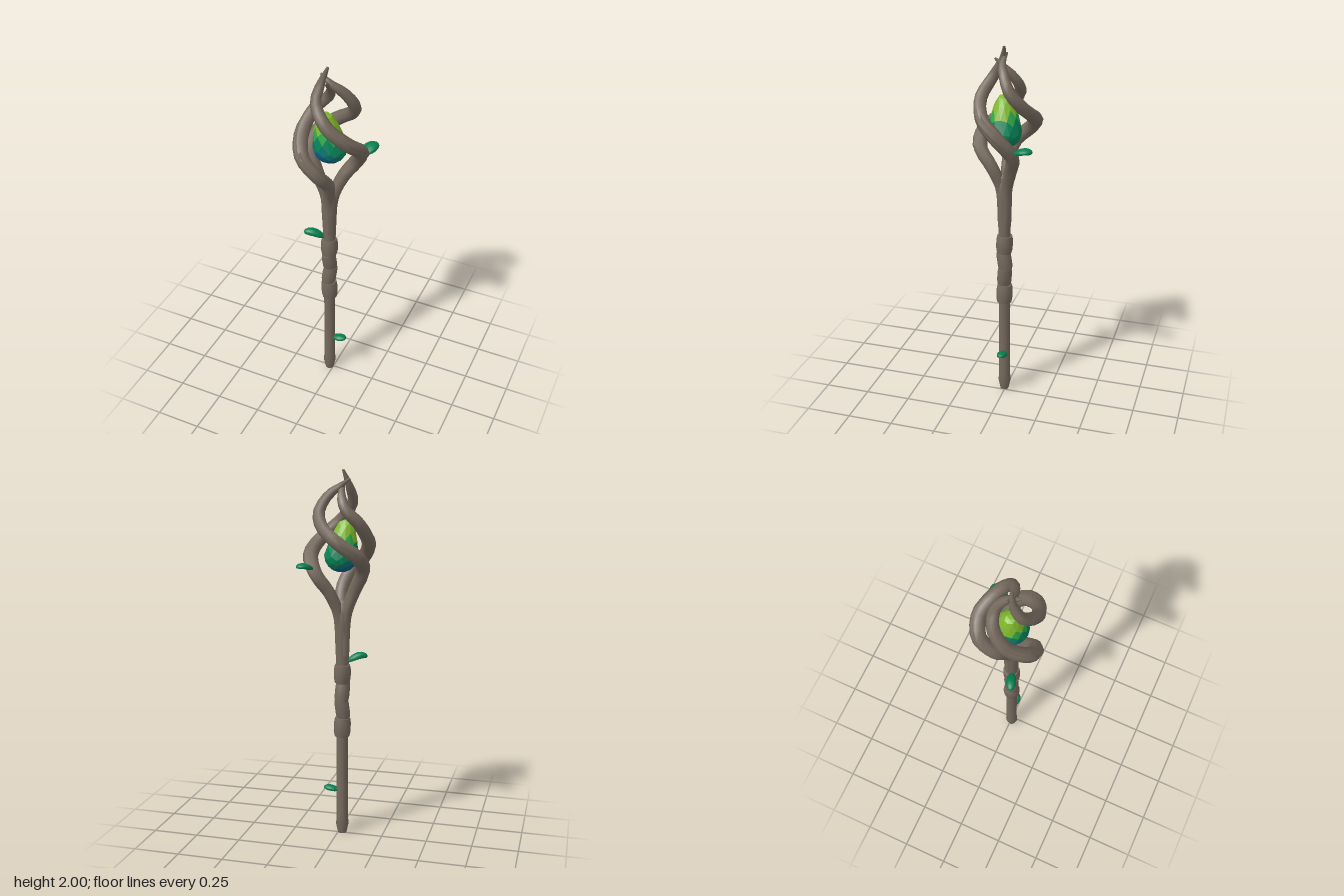
import * as THREE from 'three';
import { toCreasedNormals } from 'three/addons/utils/BufferGeometryUtils.js';

const AXIS_X = -0.022, AXIS_Z = 0.006;
const mat = (name, color) => {
  const m = new THREE.MeshStandardMaterial({ color });
  m.name = name;
  return m;
};
const V = (x, y, z) => new THREE.Vector3(x, y, z);

// Linear interpolation through an evenly spaced list of values
function sample(list, t) {
  const f = t * (list.length - 1), i = Math.min(Math.floor(f), list.length - 2);
  return THREE.MathUtils.lerp(list[i], list[i + 1], f - i);
}

// Tube along points whose thickness follows a list of radii
function taperedTube(points, radii, segments, sides) {
  const curve = new THREE.CatmullRomCurve3(points);
  const geo = new THREE.TubeGeometry(curve, segments, 1, sides);
  const pos = geo.attributes.position, v = new THREE.Vector3();
  for (let i = 0; i < pos.count; i++) {
    const t = Math.floor(i / (sides + 1)) / segments;
    const c = curve.getPointAt(t);
    v.fromBufferAttribute(pos, i).sub(c).multiplyScalar(sample(radii, t)).add(c);
    pos.setXYZ(i, v.x, v.y, v.z);
  }
  return geo;
}

// Turned part from [radius, height] pairs
function turned(profile, sides) {
  const geo = new THREE.LatheGeometry(profile.map(([r, y]) => new THREE.Vector2(r, y)), sides);
  return toCreasedNormals(geo, 0.9);
}

// Blunt egg-shaped faceted crystal: lime top, emerald body, blue low on the front right
function crystalGeometry() {
  const geo = new THREE.IcosahedronGeometry(1, 2);
  const pos = geo.attributes.position;
  for (let i = 0; i < pos.count; i++) {
    const x = pos.getX(i), y = pos.getY(i), z = pos.getZ(i);
    const up = Math.max(y, 0), w = 0.09 * (1 - 0.3 * up);
    const h = y > 0 ? Math.min(y / 0.9, 1) * 0.185 : y * 0.09;
    pos.setXYZ(i, x * w - 0.028 * up, h, z * w + 0.01 * up);
  }
  geo.computeVertexNormals();
  for (let i = 0; i < pos.count; i += 3) {
    const [x, y, z] = [0, 1, 2].map(a => (pos.getComponent(i, a) + pos.getComponent(i + 1, a) + pos.getComponent(i + 2, a)) / 3);
    const low = y + 0.4 * (x - z);
    const colour = y > 0.088 ? 0 : y > 0.058 ? 1 : low > -0.02 ? 2 : low > -0.045 ? 3 : 4;
    geo.addGroup(i, 3, colour);
  }
  return geo;
}

// Thick, arched oval leaf growing along +x from its base
function leafGeometry(length, width, rise, thickness) {
  const geo = new THREE.IcosahedronGeometry(1, 2);
  const pos = geo.attributes.position;
  for (let i = 0; i < pos.count; i++) {
    const t = (pos.getX(i) + 1) / 2, y = pos.getY(i), z = pos.getZ(i);
    const arch = rise * Math.sin(t * Math.PI * 0.72);
    const slab = Math.sign(y) * Math.pow(Math.abs(y), 0.6) * thickness;
    pos.setXYZ(i, t * length, slab + arch - 0.008 * z * z, z * width);
  }
  return toCreasedNormals(geo, 0.5);
}

export function createModel() {
  const wood = mat('wood', 0x75695d);
  const leafGreen = mat('leaf green', 0x057f50);
  const crystalColours = [
    mat('crystal lime', 0x7fb82c), mat('crystal green', 0x2fa848),
    mat('crystal emerald', 0x08855a), mat('crystal teal', 0x0b7670), mat('crystal blue', 0x0a5f8c),
  ];
  const group = new THREE.Group();
  const add = (name, geo, material, x = 0, y = 0, z = 0) => {
    const mesh = new THREE.Mesh(geo, material);
    mesh.name = name;
    mesh.position.set(x, y, z);
    group.add(mesh);
    return mesh;
  };

  // Shaft and the flared trunk above the grip
  add('shaft', turned([[0, 0], [0.024, 0], [0.036, 0.055], [0.032, 0.1], [0.031, 0.92]], 9), wood, AXIS_X, 0, AXIS_Z);
  add('trunk', turned([[0.034, 0.92], [0.035, 1.03], [0.042, 1.18], [0.043, 1.25], [0.03, 1.31], [0, 1.33]], 10), wood, AXIS_X, 0, AXIS_Z);

  // Grip: two collars with tilted wraps between them: [y, height, radius, tilt]
  const wraps = [[0.618, 0.105, 0.046, 0.05], [0.722, 0.11, 0.04, -0.12], [0.817, 0.11, 0.04, 0.12], [0.918, 0.1, 0.046, -0.04]];
  for (const [y, h, r, tilt] of wraps) {
    const profile = [[0.02, -h / 2], [r * 0.88, -h / 2], [r, -h * 0.25], [r, h * 0.25], [r * 0.9, h / 2], [0.02, h / 2]];
    const wrap = add('gripWrap', turned(profile, 10), wood, AXIS_X, y, AXIS_Z);
    wrap.rotation.set(tilt * 0.5, y * 9, tilt);
  }

  // Three spiralling arms, listed from trunk to tip as [x, y, z]
  const arms = [
    [[-0.012, 1.02, 0], [-0.004, 1.25, -0.012], [0.04, 1.37, -0.045], [0.1, 1.46, -0.07], [0.146, 1.56, -0.005],
      [0.108, 1.645, 0.085], [0.015, 1.735, 0.12], [-0.06, 1.83, 0.077], [-0.052, 1.92, 0.025], [-0.024, 2.0, 0.008]],
    [[-0.036, 1.02, -0.002], [-0.045, 1.25, 0], [-0.09, 1.38, 0.005], [-0.138, 1.48, -0.025], [-0.135, 1.56, -0.11],
      [-0.045, 1.63, -0.15], [0.055, 1.71, -0.11], [0.088, 1.785, -0.055], [0.052, 1.865, -0.012], [-0.008, 1.915, 0.012], [-0.065, 1.955, 0.005]],
    [[-0.02, 1.02, 0.017], [-0.016, 1.25, 0.026], [0, 1.365, 0.072], [-0.03, 1.455, 0.14], [-0.105, 1.535, 0.138],
      [-0.153, 1.625, 0.04], [-0.12, 1.73, -0.045], [-0.055, 1.8, -0.062], [-0.022, 1.87, -0.018], [-0.018, 1.935, 0.055]],
  ];
  const armRadii = [0.025, 0.028, 0.031, 0.034, 0.037, 0.038, 0.038, 0.036, 0.034, 0.03, 0.024, 0.006];
  for (const arm of arms) {
    const points = arm.map(p => V(...p));
    add('spiralArm', taperedTube(points, armRadii, 30, 8), wood);

    // Bark strip laid over the outside of the arm, ending bluntly
    const strip = points.slice(1, 7).map(p => {
      const out = V(p.x - AXIS_X, 0, p.z - AXIS_Z).normalize();
      return p.clone().addScaledVector(out, 0.016).add(V(0, 0.008, 0));
    });
    add('barkStrip', taperedTube(strip, [0.016, 0.02, 0.023, 0.026, 0.027, 0.026, 0.024, 0.02, 0], 16, 6), wood);
  }

  // Crystal held inside the arms
  add('crystal', crystalGeometry(), crystalColours, -0.016, 1.558, 0.003);

  // Leaves: [base x, y, z, heading, length, half width, rise, half thickness]
  const leaves = [
    [-0.002, 0.25, 0.003, 0, 0.084, 0.028, 0.014, 0.012],
    [-0.045, 0.985, 0.018, Math.PI + 0.36, 0.112, 0.027, 0.034, 0.017],
    [0.124, 1.494, -0.09, 1.2, 0.105, 0.039, 0.024, 0.014],
  ];
  for (const [x, y, z, heading, length, width, rise, thickness] of leaves) {
    add('leaf', leafGeometry(length, width, rise, thickness), leafGreen, x, y, z).rotation.y = heading;
  }
  return group;
}
